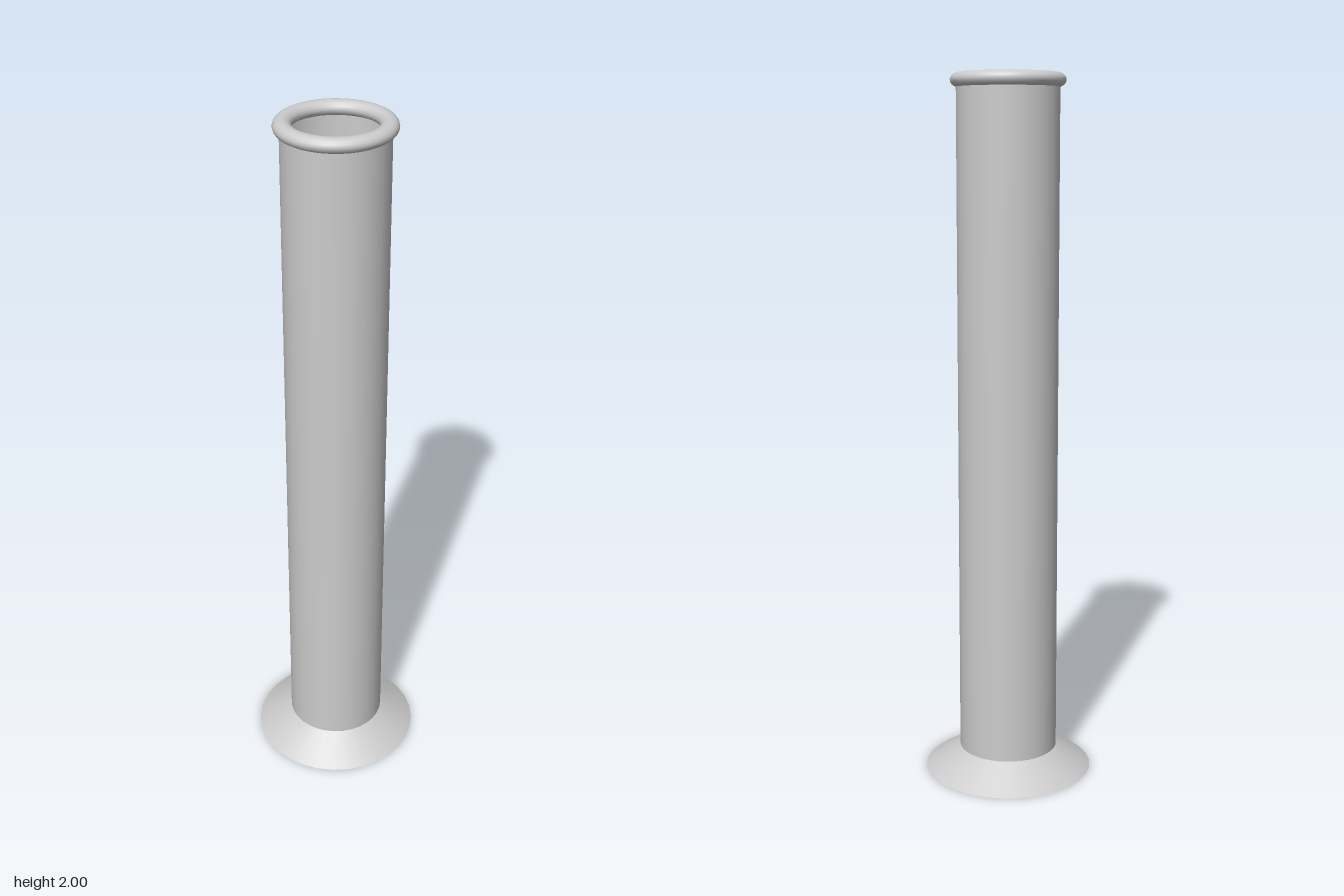
import * as THREE from 'three';

const SEGMENTS = 32;
const BASE_HEIGHT = 0.065;
const TUBE_RADIUS = 0.142;
const RIM_Y = 1.98;

export function createModel() {
  const model = new THREE.Group();
  model.name = 'cylinderVessel';
  const solid = new THREE.MeshStandardMaterial({ color: 0xcccccc });
  const thin = new THREE.MeshStandardMaterial({ color: 0xcccccc, side: THREE.DoubleSide });

  const add = (name, geometry, material, y) => {
    const mesh = new THREE.Mesh(geometry, material);
    mesh.name = name;
    mesh.position.y = y;
    model.add(mesh);
  };

  // Flared foot; its top cap is the floor of the tube
  add('base', new THREE.CylinderGeometry(TUBE_RADIUS, 0.243, BASE_HEIGHT, SEGMENTS), solid, BASE_HEIGHT / 2);

  // Thin open tube
  const tubeHeight = RIM_Y - BASE_HEIGHT;
  add('tube', new THREE.CylinderGeometry(TUBE_RADIUS, TUBE_RADIUS, tubeHeight, SEGMENTS, 1, true),
    thin, BASE_HEIGHT + tubeHeight / 2);

  // Rolled lip, slightly flattened
  const lip = new THREE.TorusGeometry(0.134, 0.0245, 16, 48);
  lip.rotateX(Math.PI / 2);
  lip.scale(1, 0.02 / 0.0245, 1);
  add('rim', lip, solid, RIM_Y);

  return model;
}
